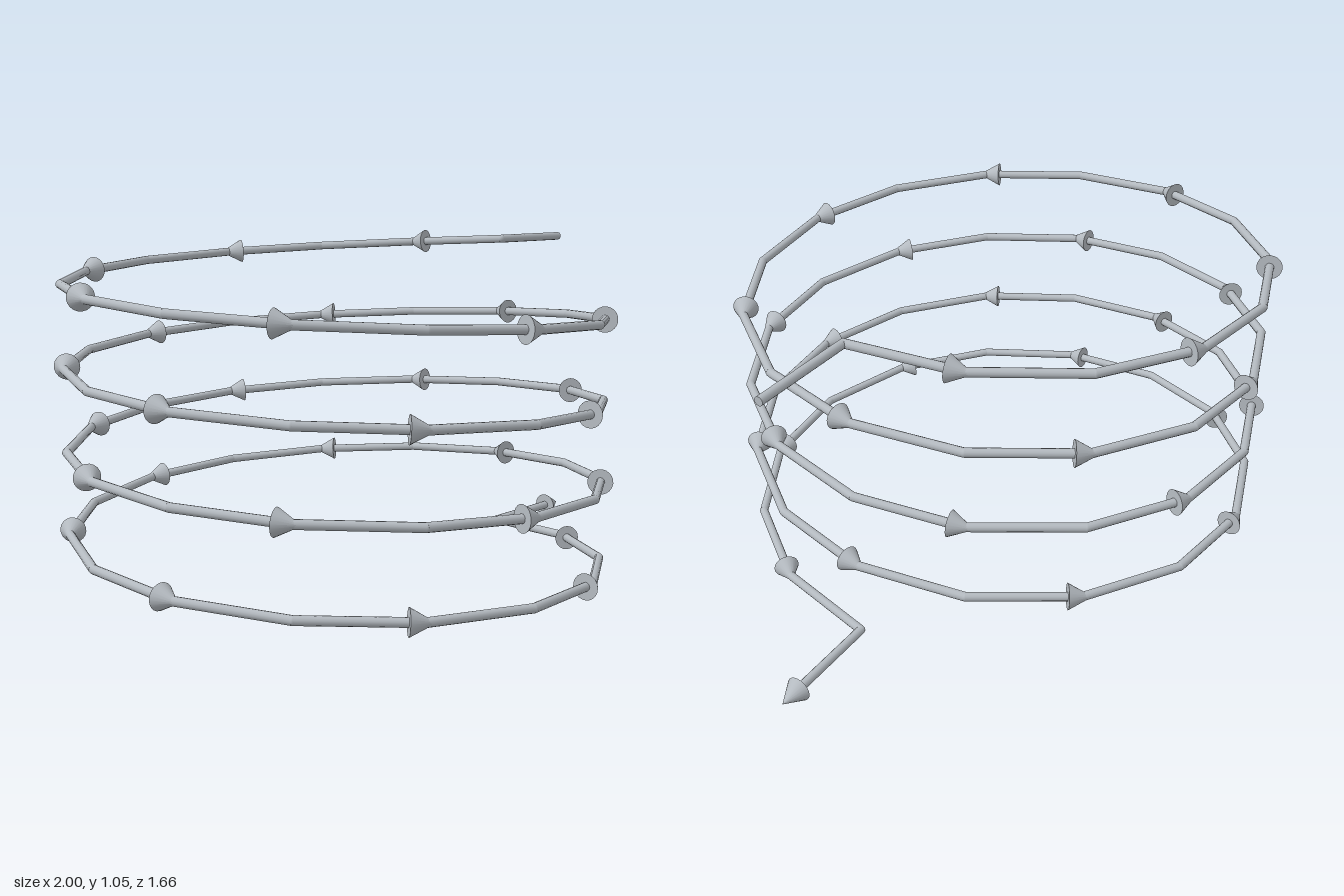
import * as THREE from 'three';

const SIDES = 15;          // straight runs per turn
const TURNS = 4;
const RADIUS = 0.806;
const CENTER_X = -0.171, CENTER_Z = 0.004;
const TOP = 1.026, BOTTOM = 0.039;
const LEAD_X = 0.971;      // outer end of both leads
const WIRE = 0.0135;
const ARROW_RADIUS = 0.039, ARROW_LENGTH = 0.072;
const ARROW_SETBACK = 0.007; // arrow centre sits just before its point

export function createModel() {
  const model = new THREE.Group();
  model.name = 'coil';
  const steel = new THREE.MeshStandardMaterial({ color: 0xb4bac0 });
  steel.name = 'steel grey';

  // Path: lead in, descending polygonal helix, lead out
  const count = SIDES * TURNS;
  const points = [new THREE.Vector3(LEAD_X, TOP, CENTER_Z)];
  for (let i = 0; i <= count; i++) {
    const a = (i / SIDES) * Math.PI * 2;
    points.push(new THREE.Vector3(
      CENTER_X + RADIUS * Math.cos(a),
      TOP + (BOTTOM - TOP) * (i / count),
      CENTER_Z - RADIUS * Math.sin(a)));
  }
  points.push(new THREE.Vector3(LEAD_X, BOTTOM, CENTER_Z));

  const up = new THREE.Vector3(0, 1, 0);
  const jointGeometry = new THREE.SphereGeometry(WIRE, 12, 8);
  const arrowGeometry = new THREE.ConeGeometry(ARROW_RADIUS, ARROW_LENGTH, 20);
  arrowGeometry.translate(0, -ARROW_SETBACK, 0);

  function add(name, geometry, position, direction) {
    const mesh = new THREE.Mesh(geometry, steel);
    mesh.name = name;
    mesh.position.copy(position);
    if (direction) mesh.quaternion.setFromUnitVectors(up, direction);
    model.add(mesh);
  }

  for (let i = 1; i < points.length; i++) {
    const from = points[i - 1], to = points[i];
    const direction = to.clone().sub(from);
    const length = direction.length();
    direction.normalize();

    // Straight run of wire
    add('wireSegment', new THREE.CylinderGeometry(WIRE, WIRE, length, 12),
      from.clone().add(to).multiplyScalar(0.5), direction);

    // Rounded bend between runs
    if (i < points.length - 1) add('wireJoint', jointGeometry, to);

    // Arrowhead on every second point, pointing along the path
    if (i % 2 === 0) add('arrowhead', arrowGeometry, to, direction);
  }
  return model;
}
